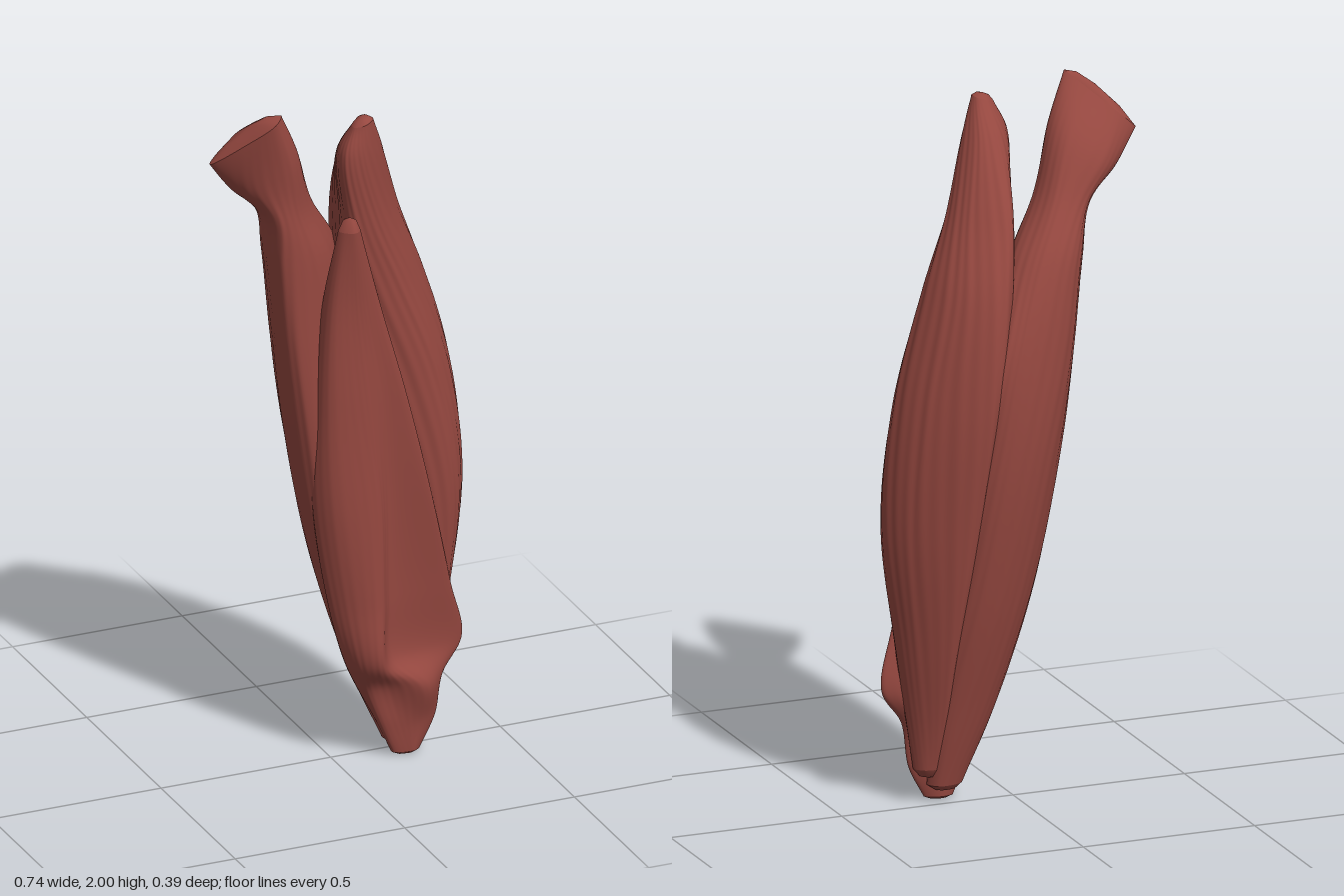
import * as THREE from 'three';

const RING = 120, ROWS = 84;

// Rows run upward: [y, tilt, x,z x6]; each section goes front, +x side, back, -x side.
const LONG = [
  [0.05, 0, 0.14, 0.05, 0.2, 0.05, 0.24, 0.03, 0.22, 0, 0.17, 0, 0.14, 0.02],
  [0.25, 0, 0.07, 0.07, 0.17, 0.06, 0.24, 0, 0.2, -0.05, 0.1, -0.04, 0.05, 0.02],
  [0.6, 0, -0.03, 0.09, 0.1, 0.06, 0.21, -0.06, 0.15, -0.135, 0.02, -0.11, -0.058, 0],
  [1.0, 0, -0.1, 0.1, 0.05, 0.06, 0.16, -0.13, 0.1, -0.19, -0.04, -0.16, -0.133, -0.01],
  [1.3, 0, -0.15, 0.1, 0, 0.07, 0.11, -0.15, 0.05, -0.185, -0.095, -0.15, -0.168, -0.02],
  [1.53, 0, -0.18, 0.1, -0.06, 0.09, 0.03, -0.06, -0.02, -0.13, -0.125, -0.125, -0.186, -0.04],
  [1.68, 0.2, -0.2, 0.105, -0.13, 0.1, -0.075, 0.03, -0.1, -0.06, -0.18, -0.07, -0.216, -0.015],
  [1.81, 0.7, -0.26, 0.085, -0.17, 0.125, -0.135, 0.08, -0.16, 0.005, -0.255, -0.04, -0.3, 0.005],
  [1.93, 0.9, -0.29, 0.1, -0.22, 0.14, -0.2, 0.125, -0.235, 0.08, -0.32, 0.02, -0.37, 0.03],
];
const LATERAL = [
  [0.1, 0, 0.2, 0.05, 0.25, 0.05, 0.28, 0.03, 0.26, 0, 0.22, -0.005, 0.19, 0.02],
  [0.45, 0, 0.24, 0.07, 0.3, 0.08, 0.33, 0.03, 0.3, -0.04, 0.205, -0.095, 0.18, 0.01],
  [0.8, 0, 0.2, 0.095, 0.31, 0.115, 0.37, 0.03, 0.32, -0.075, 0.17, -0.155, 0.13, 0.02],
  [1.15, 0, 0.12, 0.11, 0.25, 0.125, 0.338, 0.02, 0.28, -0.1, 0.125, -0.188, 0.07, 0.02],
  [1.45, 0, 0.04, 0.125, 0.15, 0.135, 0.25, 0.03, 0.2, -0.095, 0.08, -0.155, 0.01, 0.03],
  [1.65, 0, 0, 0.145, 0.08, 0.15, 0.17, 0.06, 0.14, -0.03, 0.04, -0.08, 0, 0.05],
  [1.85, 0, -0.025, 0.16, 0.03, 0.17, 0.1, 0.12, 0.08, 0.05, 0.025, 0.04, -0.025, 0.1],
  [1.94, 0.3, 0.005, 0.15, 0.03, 0.165, 0.06, 0.15, 0.055, 0.12, 0.03, 0.11, 0.005, 0.13],
];
const MEDIAL = [
  [0.01, 0, 0.16, 0.06, 0.2, 0.07, 0.22, 0.07, 0.24, 0.05, 0.2, 0.03, 0.16, 0.04],
  [0.1, 0, 0.12, 0.07, 0.17, 0.08, 0.24, 0.08, 0.285, 0.05, 0.2, 0.02, 0.12, 0.04],
  [0.22, 0, 0.07, 0.09, 0.13, 0.1, 0.23, 0.12, 0.3, 0.06, 0.2, 0, 0.055, 0.05],
  [0.32, 0, 0.03, 0.13, 0.085, 0.157, 0.14, 0.105, 0.36, 0.06, 0.2, 0, 0.01, 0.06],
  [0.5, 0, -0.005, 0.13, 0.08, 0.158, 0.13, 0.11, 0.315, 0.09, 0.2, 0.03, -0.04, 0.07],
  [0.8, 0, -0.05, 0.14, 0.07, 0.157, 0.12, 0.125, 0.24, 0.13, 0.15, 0.05, -0.085, 0.07],
  [1.1, 0, -0.065, 0.14, 0.03, 0.16, 0.1, 0.143, 0.165, 0.14, 0.08, 0.05, -0.082, 0.08],
  [1.4, 0, -0.06, 0.15, 0, 0.165, 0.04, 0.163, 0.08, 0.148, 0.03, 0.08, -0.068, 0.1],
  [1.64, 0, -0.04, 0.18, -0.015, 0.195, 0, 0.19, 0.012, 0.17, -0.02, 0.14, -0.048, 0.16],
];

// Lofts smooth closed sections, adding shallow slanted fibre grooves and end caps.
function loft(rows, fibre, slant, bottomDome, topDome) {
  const columns = [];
  for (let k = 0; k < 6; k++) {
    columns.push(new THREE.CatmullRomCurve3(rows.map((r) => {
      const cx = (r[2] + r[4] + r[6] + r[8] + r[10] + r[12]) / 6;
      const x = r[2 + 2 * k];
      return new THREE.Vector3(x, r[0] + r[1] * (x - cx), r[3 + 2 * k]);
    })));
  }
  const pos = [], index = [], rings = [];
  for (let j = 0; j <= ROWS; j++) {
    const v = j / ROWS;
    const ctrl = columns.map((c) => c.getPoint(v));
    const mid = ctrl.reduce((s, p) => s.add(p), new THREE.Vector3()).divideScalar(6);
    const curve = new THREE.CatmullRomCurve3(ctrl, true);
    const ring = [];
    for (let i = 0; i < RING; i++) {
      const u = i / RING, p = curve.getPoint(u), a = u * Math.PI * 2;
      const wave = Math.sin(23 * a + slant * v + Math.sin(3 * a + 5 * v))
        + 0.6 * Math.sin(13 * a + slant * 0.7 * v + 2);
      const out = p.clone().sub(mid).setY(0).normalize();
      p.addScaledVector(out, fibre * wave * Math.sin(Math.PI * v));
      ring.push(p);
      pos.push(p.x, p.y, p.z);
    }
    rings.push({ ring, mid });
  }
  for (let j = 0; j < ROWS; j++) {
    for (let i = 0; i < RING; i++) {
      const n = (i + 1) % RING;
      const a = j * RING + i, b = j * RING + n, c = a + RING, d = b + RING;
      index.push(a, b, c, b, d, c);
    }
  }
  // Each cap has its own rim so the edge stays crisp.
  const cap = ({ ring, mid }, dome, up) => {
    const start = pos.length / 3;
    ring.forEach((p) => pos.push(p.x, p.y, p.z));
    ring.forEach((p) => {
      const q = p.clone().lerp(mid, 0.4);
      pos.push(q.x, q.y + dome * 0.75, q.z);
    });
    pos.push(mid.x, mid.y + dome, mid.z);
    const tip = start + 2 * RING;
    for (let i = 0; i < RING; i++) {
      const n = (i + 1) % RING;
      const a = start + i, b = start + n, c = a + RING, d = b + RING;
      if (up) index.push(a, b, c, b, d, c, c, d, tip);
      else index.push(a, c, b, b, c, d, c, tip, d);
    }
  };
  cap(rings[0], -bottomDome, false);
  cap(rings[ROWS], topDome, true);
  const geo = new THREE.BufferGeometry();
  geo.setAttribute('position', new THREE.Float32BufferAttribute(pos, 3));
  geo.setIndex(index);
  geo.computeVertexNormals();
  return geo;
}

export function createModel() {
  const group = new THREE.Group();
  group.name = 'threeHeadedMuscle';
  const muscle = new THREE.MeshStandardMaterial({ color: 0x964840 });
  muscle.name = 'muscleRed';

  const add = (name, geo) => {
    const mesh = new THREE.Mesh(geo, muscle);
    mesh.name = name;
    group.add(mesh);
  };
  // Long inner belly, with its flared blade-like upper end
  add('longHead', loft(LONG, 0.0009, -26, 0.02, 0.03));
  // Outer belly with the strongest slanted fibres
  add('lateralHead', loft(LATERAL, 0.0013, 32, 0.03, 0.015));
  // Front strip and lower tendon
  add('medialHeadAndTendon', loft(MEDIAL, 0.0004, 4, 0.01, 0.04));
  return group;
}
